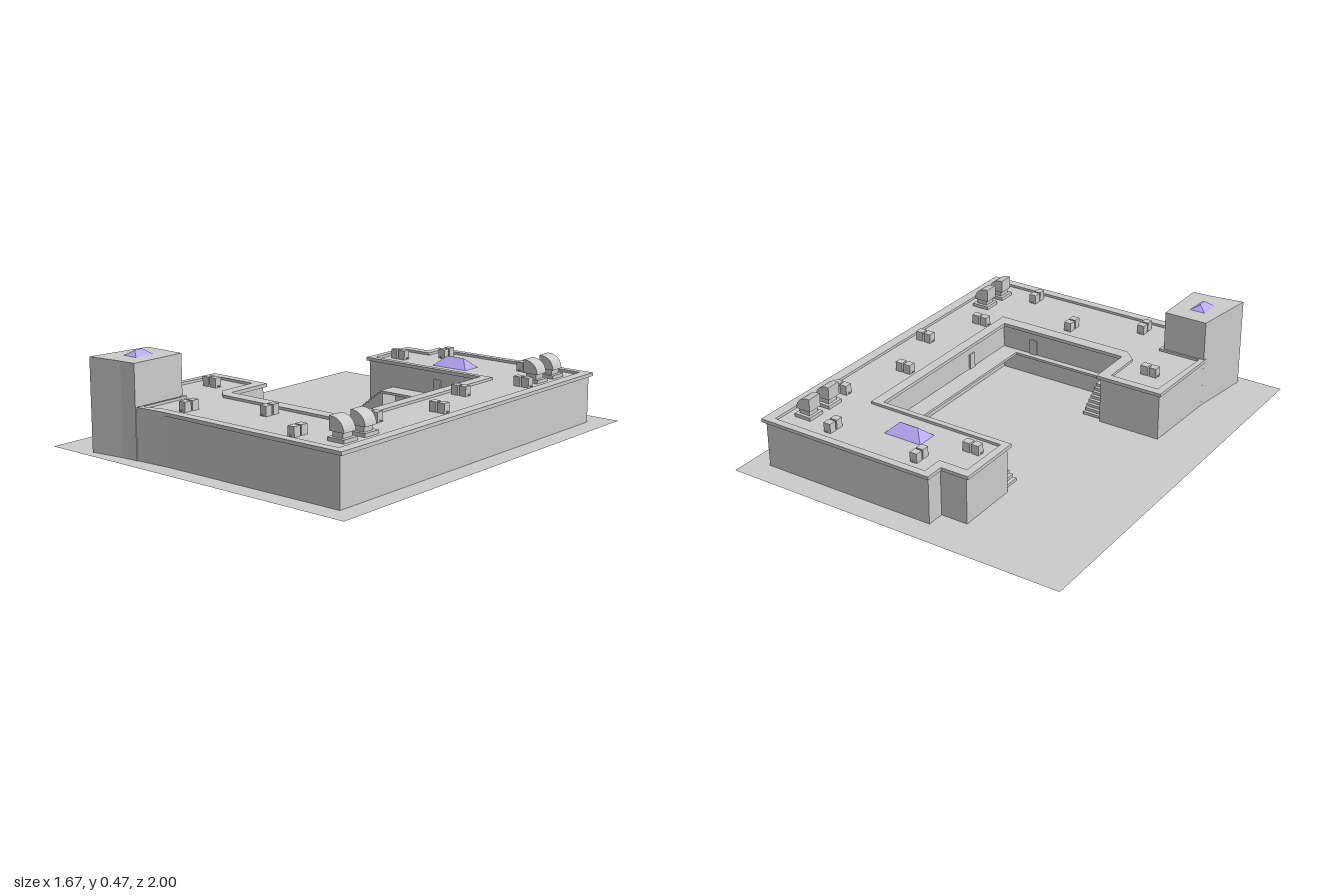
import * as THREE from 'three';

const grey = new THREE.MeshStandardMaterial({ color: 0xcccccc, flatShading: true, side: THREE.DoubleSide });
const glass = new THREE.MeshStandardMaterial({ color: 0xb8a8f8, flatShading: true });
const GROUND = 0.025, ROOF = 0.25, DECK = 0.135;

export function createModel() {
  const model = new THREE.Group();

  const add = (name, geometry, material = grey, parent = model) => {
    const mesh = new THREE.Mesh(geometry, material);
    mesh.name = name;
    parent.add(mesh);
    return mesh;
  };

  // Box given by its min and max on each axis
  const box = (name, x0, x1, y0, y1, z0, z1, parent) =>
    add(name, new THREE.BoxGeometry(x1 - x0, y1 - y0, z1 - z0)
      .translate((x0 + x1) / 2, (y0 + y1) / 2, (z0 + z1) / 2), grey, parent);

  // Plan outline of [x, z] points, extruded between two heights
  const plan = (name, outline, y0, y1, hole) => {
    const toVec = (p) => new THREE.Vector2(p[0], p[1]);
    const shape = new THREE.Shape(outline.map(toVec));
    if (hole) shape.holes.push(new THREE.Path(hole.map(toVec)));
    const geo = new THREE.ExtrudeGeometry(shape, { depth: y1 - y0, bevelEnabled: false });
    return add(name, geo.rotateX(Math.PI / 2).translate(0, y1, 0));
  };

  // Ground sheet and the small drain below it
  add('ground', new THREE.PlaneGeometry(1.67, 2).rotateX(-Math.PI / 2).translate(0, GROUND, 0));
  box('drain', 0.45, 0.47, 0, 0.015, -0.69, -0.67);

  // C-shaped building walls
  plan('walls', [
    [-0.26, -0.50], [-0.26, -0.80], [-0.13, -0.80], [-0.13, -0.885], [0.735, -0.885], [0.735, 0.905],
    [-0.2, 0.91], [-0.38, 0.922], [-0.5, 0.934], [-0.62, 0.945], [-0.59, 0.65], [-0.575, 0.25],
    [-0.27, 0.25], [-0.27, 0.48], [0.41, 0.48], [0.41, -0.50],
  ], GROUND, ROOF);

  // Parapet rim around the flat roof
  plan('parapet', [
    [-0.275, -0.49], [-0.275, -0.81], [-0.14, -0.81], [-0.14, -0.90], [0.75, -0.90], [0.75, 0.912],
    [-0.22, 0.915], [-0.37, 0.925], [-0.37, 0.66], [-0.595, 0.66], [-0.585, 0.24],
    [-0.255, 0.24], [-0.255, 0.47], [0.40, 0.47], [0.40, -0.49],
  ], 0.246, 0.262, [
    [-0.24, -0.52], [-0.24, -0.765], [-0.10, -0.765], [-0.10, -0.865], [0.70, -0.865], [0.70, 0.87],
    [-0.26, 0.87], [-0.36, 0.90], [-0.36, 0.64], [-0.57, 0.64], [-0.55, 0.28],
    [-0.31, 0.28], [-0.31, 0.475], [-0.25, 0.53], [0.45, 0.53], [0.45, -0.515],
  ]);

  // Corner tower with a slightly bowed front
  plan('tower', [
    [-0.59, 0.648], [-0.38, 0.648], [-0.38, 0.925], [-0.46, 0.93], [-0.54, 0.941], [-0.63, 0.953],
  ], GROUND, 0.45);

  // Raised walkway round the courtyard
  plan('walkway', [
    [-0.10, -0.50], [-0.10, -0.40], [0.32, -0.40], [0.32, 0.45], [-0.17, 0.45], [-0.17, 0.40],
    [-0.255, 0.40], [-0.255, 0.48], [0.41, 0.48], [0.41, -0.50],
  ], DECK - 0.012, DECK);

  // Two flights of stairs up to the walkway
  const stairs = new THREE.Group();
  stairs.name = 'stairs';
  model.add(stairs);
  const steps = 8;
  for (let i = 0; i < steps; i++) {
    const top = GROUND + (DECK - GROUND) * (i + 1) / steps;
    const a = i / steps, b = (i + 1) / steps;
    box('backStep', -0.24 + 0.14 * a, -0.24 + 0.14 * b, GROUND, top, -0.50, -0.40, stairs);
    box('frontStep', -0.255, -0.17, GROUND, top, 0.27 + 0.13 * a, 0.27 + 0.13 * b, stairs);
  }

  // Doors opening on the walkway
  box('backDoor', 0.13, 0.17, DECK, 0.21, -0.50, -0.494);
  box('sideDoor', 0.403, 0.41, DECK, 0.21, 0.18, 0.22);
  box('frontDoor', 0.22, 0.26, DECK, 0.21, 0.474, 0.48);

  // Hipped skylights: a box whose top is drawn in to a ridge
  const skylight = (name, x, y, z, w, h, d, ridgeX, ridgeZ) => {
    const geo = new THREE.BoxGeometry(w, h, d);
    const p = geo.attributes.position;
    for (let i = 0; i < p.count; i++) {
      if (p.getY(i) > 0) p.setXYZ(i, p.getX(i) * ridgeX, p.getY(i), p.getZ(i) * ridgeZ);
    }
    geo.computeVertexNormals();
    add(name, geo.translate(x, y + h / 2, z), glass);
  };
  skylight('roofSkylight', 0.147, ROOF, -0.642, 0.19, 0.045, 0.1, 0.5, 0.02);
  skylight('towerSkylight', -0.497, 0.45, 0.79, 0.075, 0.024, 0.1, 0.03, 0.45);

  // Paired rooftop cooling units: [x, z, set along z]
  const units = [
    [-0.01, -0.783, 1], [0.447, -0.783, 1], [-0.164, -0.614, 0], [0.63, -0.497, 0], [0.514, -0.18, 0],
    [0.627, 0.13, 0], [0.508, 0.427, 0], [-0.442, 0.403, 0], [0.112, 0.622, 1], [-0.197, 0.788, 1], [0.427, 0.8, 1],
  ];
  for (const [x, z, alongZ] of units) {
    const pair = new THREE.Group();
    pair.name = 'coolingUnitPair';
    pair.position.set(x, ROOF, z);
    pair.rotation.y = alongZ ? Math.PI / 2 : 0;
    model.add(pair);
    for (const s of [-0.022, 0.022]) box('coolingUnit', s - 0.018, s + 0.018, 0, 0.045, -0.018, 0.018, pair);
    box('pipe', -0.047, 0.047, 0.004, 0.009, -0.004, 0.004, pair);
  }

  // Roof vents: a quarter-round hood on a short base
  const hood = new THREE.Shape();
  hood.moveTo(-0.038, 0.04);
  hood.lineTo(-0.038, 0.102);
  hood.quadraticCurveTo(0.03, 0.102, 0.038, 0.04);
  hood.closePath();
  const hoodGeo = new THREE.ExtrudeGeometry(hood, { depth: 0.072, bevelEnabled: false, curveSegments: 8 }).translate(0, 0, -0.036);
  for (const z of [-0.745, -0.615, 0.615, 0.745]) {
    const vent = new THREE.Group();
    vent.name = 'roofVent';
    vent.position.set(0.614, ROOF, z);
    model.add(vent);
    add('ventHood', hoodGeo, grey, vent);
    box('ventBase', -0.028, 0.026, 0.015, 0.04, -0.028, 0.028, vent);
    box('ventCurb', -0.043, 0.043, 0, 0.016, -0.043, 0.043, vent);
  }

  return model;
}
